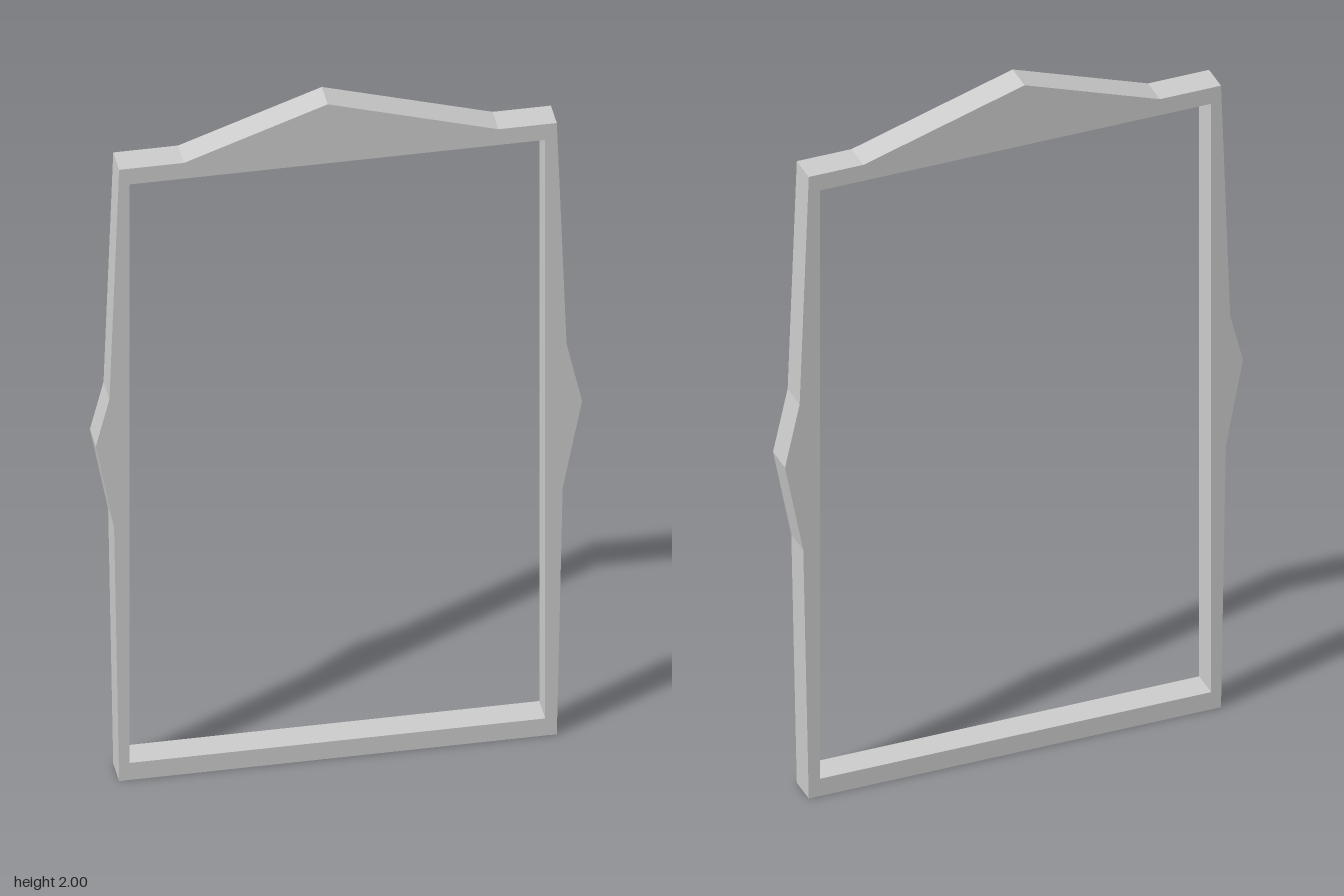
import * as THREE from 'three';

const DEPTH = 0.08;

export function createModel() {
  const group = new THREE.Group();
  const grey = new THREE.MeshStandardMaterial({ color: 0xcccccc });
  grey.name = 'plain grey';

  // Outer outline, counter-clockwise from the lower left corner
  const outline = new THREE.Shape([
    [-0.567, 0], [0.56, 0],
    [0.575, 0.75], [0.625, 1.01], [0.585, 1.19], // pointed bulge on the left side
    [0.56, 1.868], [0.41, 1.868],
    [-0.03, 2], [-0.40, 1.868], // pediment
    [-0.567, 1.868],
    [-0.592, 1.17], [-0.627, 1.03], [-0.58, 0.78], // pointed bulge on the right side
  ].map(([x, y]) => new THREE.Vector2(x, y)));

  // Rectangular opening
  outline.holes.push(new THREE.Path([
    [-0.54, 0.052], [-0.54, 1.82], [0.53, 1.82], [0.53, 0.052],
  ].map(([x, y]) => new THREE.Vector2(x, y))));

  const geometry = new THREE.ExtrudeGeometry(outline, { depth: DEPTH, bevelEnabled: false });
  geometry.translate(0, 0, -DEPTH / 2);

  const frame = new THREE.Mesh(geometry, grey);
  frame.name = 'frame';
  group.add(frame);
  return group;
}
